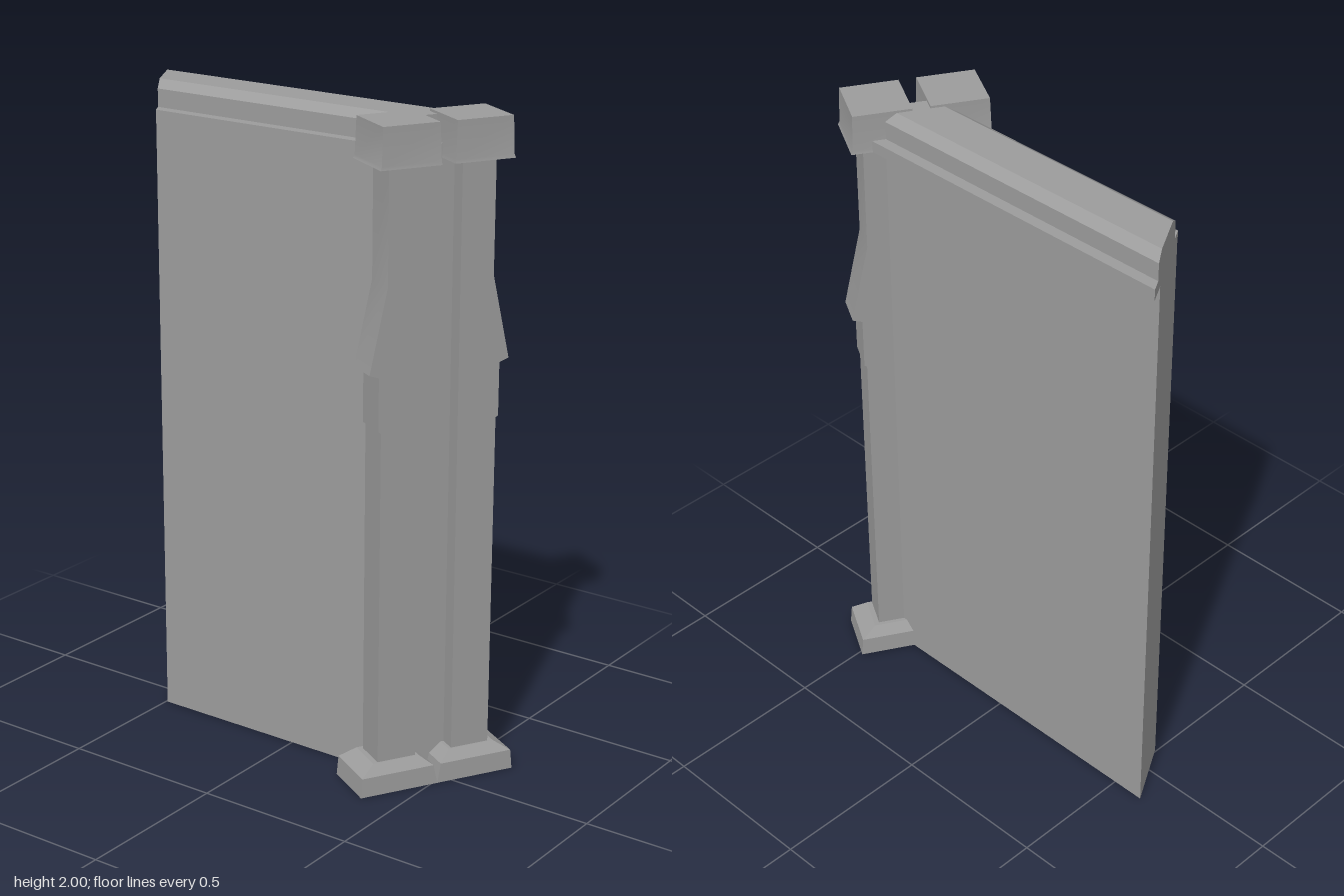
import * as THREE from 'three';
import { toCreasedNormals } from 'three/addons/utils/BufferGeometryUtils.js';

const material = new THREE.MeshStandardMaterial({ color: 0x9c9c9c });

// Gentle bends are shaded smooth, sharper edges stay crisp
function mesh(name, geometry) {
  const m = new THREE.Mesh(toCreasedNormals(geometry, Math.PI / 7), material);
  m.name = name;
  return m;
}

const polygon = (points) => new THREE.Shape(points.map(([x, y]) => new THREE.Vector2(x, y)));

// Section in x/y run along z: mitred against the post in front, cut obliquely at the back
function wallRun(points) {
  const g = new THREE.ExtrudeGeometry(polygon(points), { depth: 1, bevelEnabled: false });
  const p = g.attributes.position;
  for (let i = 0; i < p.count; i++) {
    const x = p.getX(i);
    p.setZ(i, p.getZ(i) > 0.5 ? 0.388 + 0.577 * x : -0.54 - 0.577 * x);
  }
  return g;
}

// Stack of rectangular rings [y, inner x, outer x, half depth] on one side of the post
function stack(rings, side) {
  const pos = [], index = [];
  for (const [y, inner, outer, d] of rings) {
    const [a, b] = side > 0 ? [inner, outer] : [-outer, -inner];
    pos.push(a, y, d, b, y, d, b, y, -d, a, y, -d);
  }
  for (let r = 0; r < rings.length - 1; r++) {
    for (let i = 0; i < 4; i++) {
      const a = r * 4 + i, b = r * 4 + (i + 1) % 4;
      index.push(a, b, b + 4, a, b + 4, a + 4);
    }
  }
  const t = (rings.length - 1) * 4;
  index.push(t, t + 1, t + 2, t, t + 2, t + 3, 0, 2, 1, 0, 3, 2);
  const g = new THREE.BufferGeometry();
  g.setAttribute('position', new THREE.Float32BufferAttribute(pos, 3));
  g.setIndex(index);
  return g;
}

// Shaft with a flared shoulder and a narrow band on its outer side
function shaft(side) {
  const outline = [
    [0.06, 0.05], [0.182, 0.05], [0.182, 1.115], [0.19, 1.12], [0.19, 1.28],
    [0.219, 1.29], [0.165, 1.54], [0.165, 1.9], [0.06, 1.9],
  ].map(([x, y]) => [x * side, y]);
  const g = new THREE.ExtrudeGeometry(polygon(outline), { depth: 0.103, bevelEnabled: false });
  return g.translate(0, 0, -0.048);
}

export function createModel() {
  const model = new THREE.Group();
  model.name = 'wallWithPost';

  // Wall and its stepped, chamfered coping
  model.add(mesh('wall', wallRun([[-0.078, 0], [0.111, 0], [0.111, 1.89], [-0.078, 1.89]])));
  model.add(mesh('coping', wallRun([
    [-0.081, 1.88], [0.172, 1.88], [0.172, 1.915], [0.137, 1.915], [0.137, 1.97],
    [0.107, 1.993], [-0.013, 1.993], [-0.046, 1.97], [-0.046, 1.915], [-0.081, 1.915],
  ])));

  // Double post, turned 30 degrees to the wall
  const post = new THREE.Group();
  post.name = 'post';
  post.position.set(0.002, 0, 0.436);
  post.rotation.y = -Math.PI / 6;
  for (const side of [1, -1]) {
    const prefix = side > 0 ? 'left' : 'right';
    post.add(mesh(prefix + 'Base', stack([
      [0, 0, 0.25, 0.087], [0.06, 0.012, 0.245, 0.085], [0.09, 0.05, 0.198, 0.06],
    ], side)));
    post.add(mesh(prefix + 'Shaft', shaft(side)));
    post.add(mesh(prefix + 'Capital', stack([
      [1.88, 0.02, 0.207, 0.09], [1.89, 0.022, 0.203, 0.088], [2, 0.026, 0.199, 0.086],
    ], side)));
  }

  // Recessed panel between the shafts
  const panel = mesh('recessedPanel', new THREE.BoxGeometry(0.13, 1.92, 0.053));
  panel.position.set(0, 0.96, -0.0215);
  post.add(panel);
  model.add(post);
  return model;
}
